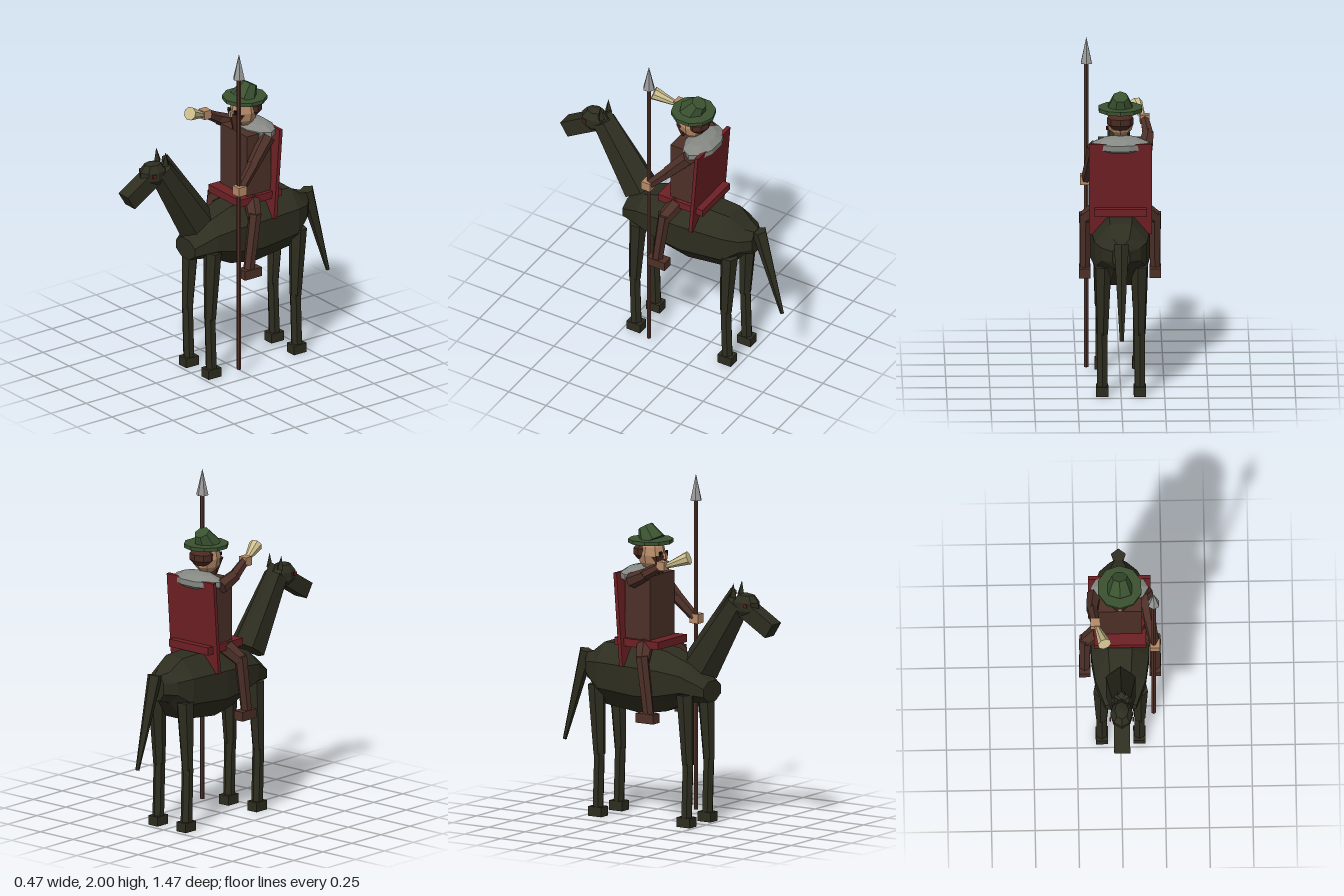
import * as THREE from 'three';

const V = (x, y, z) => new THREE.Vector3(x, y, z);
const mat = (name, color) => {
  const m = new THREE.MeshStandardMaterial({ color });
  m.name = name;
  return m;
};

export function createModel() {
  const model = new THREE.Group();
  const coat = mat('dark horse coat', 0x2d2d20);
  const cloth = mat('brown cloth', 0x4d3028);
  const hair = mat('brown hair', 0x4a2a20);
  const red = mat('deep red', 0x6e2024);
  const skin = mat('skin', 0xb58a68);
  const green = mat('hat green', 0x3a5230);
  const grey = mat('fur grey', 0x858883);
  const steel = mat('steel', 0x9a9a9a);
  const horn = mat('horn', 0xcfc08e);
  const black = mat('eye black', 0x1c1814);

  // Faceted mesh: unshared corners give flat normals
  function add(name, geo, material, pos = V(0, 0, 0), parent = model) {
    const g = geo.index ? geo.toNonIndexed() : geo;
    g.computeVertexNormals();
    const mesh = new THREE.Mesh(g, material);
    mesh.name = name;
    mesh.position.copy(pos);
    parent.add(mesh);
    return mesh;
  }
  const box = (name, w, h, d, m, pos, parent) => add(name, new THREE.BoxGeometry(w, h, d), m, pos, parent);

  // Tapered prism from a (radius ra) to b (radius rb)
  function limb(name, a, b, ra, rb, m, parent = model, sides = 6, sx = 1) {
    const dir = b.clone().sub(a);
    const geo = new THREE.CylinderGeometry(rb, ra, dir.length(), sides).scale(sx, 1, 1);
    const mesh = add(name, geo, m, a.clone().add(b).multiplyScalar(0.5), parent);
    mesh.quaternion.setFromUnitVectors(V(0, 1, 0), dir.normalize());
    return mesh;
  }

  // Closed loft of octagons along z; rows are [z, centreY, halfWidth, halfHeight]
  function loft(rows) {
    const n = 8, pos = [], k = 1 / Math.cos(Math.PI / n);
    const p = ([z, y, w, h], j) => {
      const a = ((j + 0.5) / n) * Math.PI * 2;
      return [Math.cos(a) * w * k, y + Math.sin(a) * h * k, z];
    };
    const first = rows[0], last = rows[rows.length - 1];
    for (let j = 0; j < n; j++) {
      pos.push(0, first[1], first[0], ...p(first, j), ...p(first, j + 1));
      pos.push(0, last[1], last[0], ...p(last, j + 1), ...p(last, j));
      for (let i = 0; i + 1 < rows.length; i++) {
        const a = p(rows[i], j), b = p(rows[i], j + 1), c = p(rows[i + 1], j), d = p(rows[i + 1], j + 1);
        pos.push(...a, ...c, ...b, ...b, ...c, ...d);
      }
    }
    const g = new THREE.BufferGeometry();
    g.setAttribute('position', new THREE.Float32BufferAttribute(pos, 3));
    return g;
  }

  // Horse
  const horse = new THREE.Group();
  horse.name = 'horse';
  model.add(horse);
  add('horseBody', loft([
    [0.29, 0.785, 0.09, 0.06], [0.16, 0.83, 0.145, 0.115], [0.02, 0.825, 0.165, 0.175],
    [-0.14, 0.82, 0.17, 0.2], [-0.41, 0.83, 0.15, 0.18], [-0.5, 0.855, 0.11, 0.09],
    [-0.555, 0.855, 0.05, 0.075],
  ]), coat, V(0, 0, 0), horse);
  limb('horseNeck', V(0, 0.93, 0.22), V(0, 1.32, 0.47), 0.12, 0.078, coat, horse, 6, 0.82);
  const mane = limb('mane', V(0, 1.0, 0.15), V(0, 1.39, 0.44), 0.025, 0.025, coat, horse, 4);
  mane.scale.x = 0.9;
  add('horseHead', new THREE.SphereGeometry(1, 8, 5).scale(0.068, 0.078, 0.09), coat, V(0, 1.31, 0.525), horse);
  const muzzle = box('muzzle', 0.092, 0.095, 0.22, coat, V(0, 1.242, 0.615), horse);
  muzzle.rotation.x = 0.55;
  limb('tail', V(0, 0.935, -0.575), V(0, 0.4, -0.727), 0.045, 0.012, coat, horse, 5);
  for (const s of [-1, 1]) {
    limb('horseEar', V(s * 0.04, 1.36, 0.46), V(s * 0.045, 1.44, 0.465), 0.024, 0.001, coat, horse, 4);
    box('horseEye', 0.009, 0.02, 0.02, red, V(s * 0.066, 1.32, 0.56), horse);
    for (const [name, hip, knee, ankle] of [['front', 0.175, 0.195, 0.185], ['hind', -0.435, -0.415, -0.425]]) {
      limb(name + 'UpperLeg', V(s * 0.106, 0.77, hip), V(s * 0.108, 0.36, knee), 0.053, 0.035, coat, horse);
      limb(name + 'LowerLeg', V(s * 0.108, 0.37, knee), V(s * 0.108, 0.03, ankle), 0.034, 0.034, coat, horse);
      box(name + 'Hoof', 0.07, 0.056, 0.09, coat, V(s * 0.108, 0.028, ankle), horse);
    }
  }

  // Saddle and cloak panel
  box('saddle', 0.3, 0.045, 0.3, red, V(0, 1.042, -0.135));
  const cloak = box('cloak', 0.36, 0.545, 0.022, red, V(0, 1.175, -0.24));
  cloak.rotation.x = -0.075;

  // Rider torso, collar and head
  const rider = new THREE.Group();
  rider.name = 'rider';
  model.add(rider);
  box('torso', 0.255, 0.38, 0.17, cloth, V(0, 1.245, -0.14), rider);
  add('furCollar', new THREE.SphereGeometry(1, 10, 5).scale(0.175, 0.053, 0.1), grey, V(0, 1.425, -0.2), rider);
  add('head', new THREE.SphereGeometry(1, 8, 6).scale(0.077, 0.095, 0.085), skin, V(0, 1.545, -0.125), rider);
  add('hair', new THREE.SphereGeometry(1, 8, 5).scale(0.08, 0.06, 0.065), hair, V(0, 1.56, -0.172), rider);
  const beard = add('beard', new THREE.ConeGeometry(0.072, 0.15, 6).rotateX(Math.PI).scale(1, 1, 0.6), hair, V(0, 1.465, -0.07), rider);
  beard.rotation.x = -0.08;
  box('nose', 0.022, 0.035, 0.025, skin, V(0, 1.54, -0.038), rider);
  for (const s of [-1, 1]) box('eye', 0.02, 0.02, 0.009, black, V(s * 0.03, 1.557, -0.045), rider);

  // Hat with a leaning crown
  add('hatBrim', new THREE.CylinderGeometry(0.13, 0.13, 0.022, 10), green, V(0, 1.622, -0.133), rider);
  const crown = add('hatCrown', new THREE.CylinderGeometry(0.046, 0.082, 0.095, 7), green, V(0, 1.66, -0.147), rider);
  crown.rotation.x = -0.52;

  // Legs
  for (const s of [-1, 1]) {
    limb('thigh', V(s * 0.11, 1.035, -0.1), V(s * 0.2, 0.955, -0.055), 0.05, 0.042, cloth, rider);
    limb('shin', V(s * 0.2, 0.985, -0.06), V(s * 0.202, 0.64, -0.012), 0.038, 0.033, cloth, rider);
    box('boot', 0.066, 0.055, 0.12, cloth, V(s * 0.202, 0.628, -0.022), rider);
  }

  // Left arm holding the spear
  limb('leftUpperArm', V(0.145, 1.41, -0.19), V(0.168, 1.275, -0.07), 0.046, 0.038, cloth, rider);
  limb('leftForearm', V(0.167, 1.285, -0.08), V(0.195, 1.16, 0.04), 0.037, 0.028, cloth, rider);
  box('leftHand', 0.058, 0.055, 0.058, skin, V(0.2, 1.155, 0.05), rider);
  limb('spearShaft', V(0.192, 0.04, 0.05), V(0.192, 1.86, 0.05), 0.014, 0.014, cloth);
  add('spearHead', new THREE.ConeGeometry(0.036, 0.155, 6), steel, V(0.192, 1.9225, 0.05));

  // Right arm raising the horn
  limb('rightUpperArm', V(-0.145, 1.405, -0.17), V(-0.16, 1.455, -0.06), 0.046, 0.036, cloth, rider);
  limb('rightForearm', V(-0.16, 1.45, -0.075), V(-0.143, 1.512, 0.035), 0.035, 0.027, cloth, rider);
  box('rightHand', 0.055, 0.052, 0.05, skin, V(-0.142, 1.515, 0.045), rider);
  limb('horn', V(-0.135, 1.512, 0.06), V(-0.092, 1.568, 0.19), 0.014, 0.04, horn, model, 8);

  return model;
}
